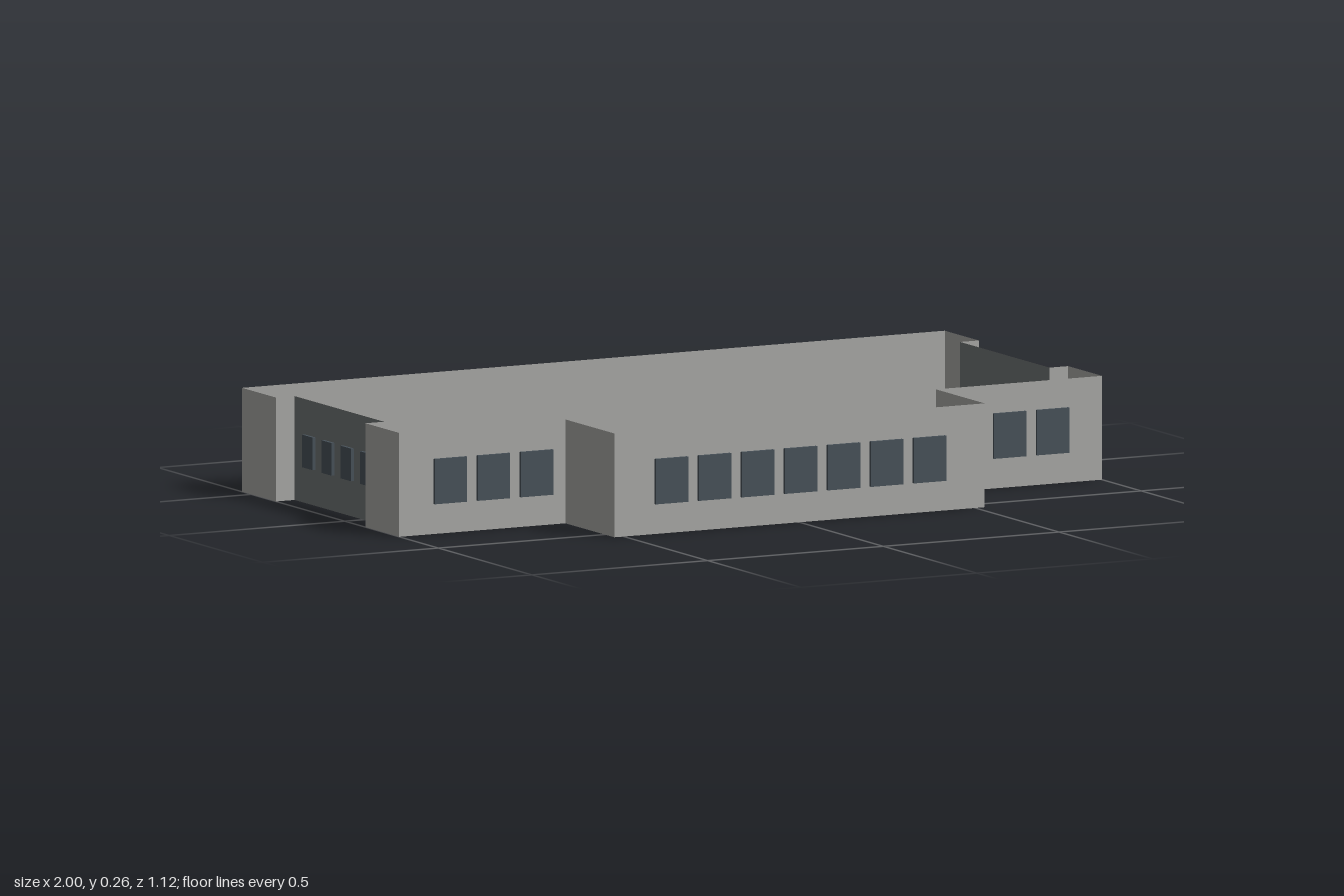
import * as THREE from 'three';

const HEIGHT = 0.264;

export function createModel() {
  const model = new THREE.Group();
  model.name = 'buildingStorey';

  const wallMat = new THREE.MeshStandardMaterial({ color: 0xa9a9a6, side: THREE.DoubleSide });
  wallMat.name = 'light grey wall';
  const recessMat = new THREE.MeshStandardMaterial({ color: 0x707474, side: THREE.DoubleSide });
  recessMat.name = 'dark grey recessed wall';
  const glassMat = new THREE.MeshStandardMaterial({ color: 0x48525a });
  glassMat.name = 'slate window';

  // Upright wall sheet between two plan points [x, z]
  function wall(name, a, b, material) {
    const dx = b[0] - a[0], dz = b[1] - a[1];
    const mesh = new THREE.Mesh(new THREE.PlaneGeometry(Math.hypot(dx, dz), HEIGHT), material);
    mesh.name = name;
    mesh.position.set((a[0] + b[0]) / 2, HEIGHT / 2, (a[1] + b[1]) / 2);
    mesh.rotation.y = Math.atan2(-dz, dx);
    model.add(mesh);
  }

  // Thin window slab standing proud of a wall
  function pane(name, x, y, z, w, h, d) {
    const mesh = new THREE.Mesh(new THREE.BoxGeometry(w, h, d), glassMat);
    mesh.name = name;
    mesh.position.set(x, y, z);
    model.add(mesh);
  }

  const zFront = 0.552, zWing = 0.291, zBack = -0.55;
  const xBay = 0.527, xRecess = 0.947;
  const zRecessFront = 0.11, zRecessBack = -0.368;

  // Long front and back walls
  wall('frontBayWall', [-xBay, zFront], [xBay, zFront], wallMat);
  wall('backWall', [1, zBack], [-1, zBack], wallMat);

  // Mirrored wing and side walls with the dark recess
  for (const s of [1, -1]) {
    const side = s > 0 ? 'left' : 'right';
    const outline = [
      ['BayReturn', [xBay, zFront], [xBay, zWing]],
      ['WingFrontWall', [xBay, zWing], [1, zWing]],
      ['FrontCornerWall', [1, zWing], [1, zRecessFront]],
      ['RecessFrontReturn', [1, zRecessFront], [xRecess, zRecessFront]],
      ['RecessWall', [xRecess, zRecessFront], [xRecess, zRecessBack], recessMat],
      ['RecessBackReturn', [xRecess, zRecessBack], [1, zRecessBack]],
      ['BackCornerWall', [1, zRecessBack], [1, zBack]],
    ];
    for (const [name, a, b, material = wallMat] of outline) {
      wall(side + name, [s * a[0], a[1]], [s * b[0], b[1]], material);
    }
    // Four narrow windows in each recess
    for (let i = 0; i < 4; i++) {
      pane(side + 'SideWindow', s * (xRecess + 0.005), 0.133, 0.026 - i * 0.103, 0.008, 0.083, 0.055);
    }
  }

  // Evenly pitched windows on the front bay, wings and back
  const pitch = 0.1224, w = 0.092, h = 0.115, y = 0.134, d = 0.009;
  for (let k = -7; k <= 7; k++) {
    const x = k * pitch;
    pane('backWindow', x, y, zBack - 0.0055, w, h, d);
    if (Math.abs(k) <= 3) pane('frontBayWindow', x, y, zFront + 0.005, w, h, 0.008);
    if (Math.abs(k) >= 5) pane('wingWindow', x, y, zWing + 0.0045, w, h, 0.007);
  }

  return model;
}
